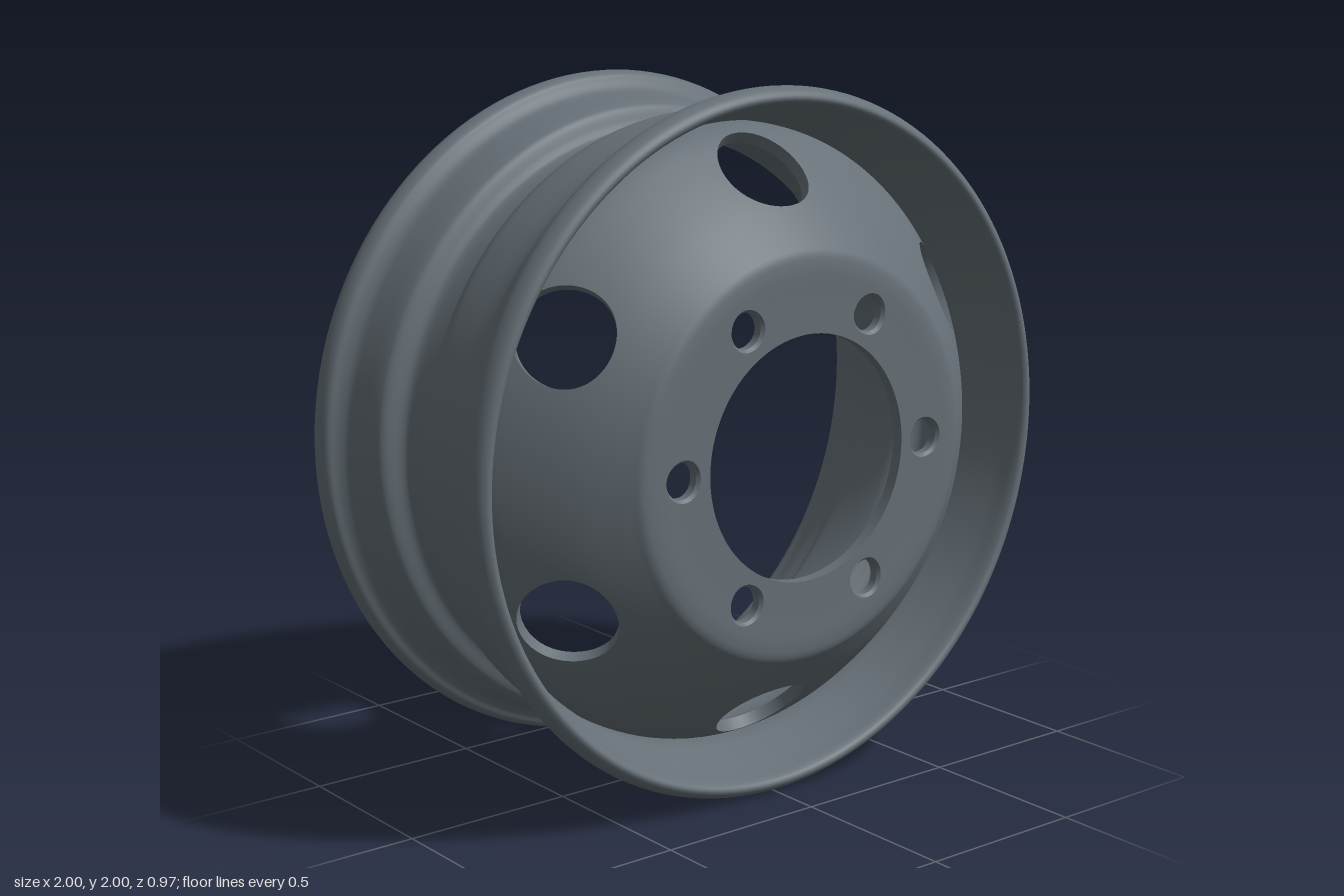
import * as THREE from 'three';

const steel = new THREE.MeshStandardMaterial({ color: 0x667077 });
steel.name = 'greySteel';

const THICK = 0.035;
const SECTOR = Math.PI / 3;

// Front face of the disc from the bore to the end of the skirt, as (radius, z)
const discCurve = new THREE.CatmullRomCurve3([
  [0.345, 0.475], [0.44, 0.475], [0.53, 0.475], [0.565, 0.468], [0.59, 0.45], [0.7, 0.357],
  [0.8, 0.25], [0.865, 0.165], [0.884, 0.12], [0.89, 0.08], [0.89, 0.04],
].map(([r, z]) => new THREE.Vector3(r, z, 0)), false, 'centripetal');
discCurve.arcLengthDivisions = 1000;
const LENGTH = discCurve.getLength();
const profile = (s) => discCurve.getPointAt(THREE.MathUtils.clamp(s / LENGTH, 0, 1));

// Distance along the profile at which a radius is first reached
function distanceAt(radius) {
  let s = 0;
  while (s < LENGTH && profile(s).x < radius) s += 0.001;
  return Math.min(s, LENGTH);
}

// Point in the disc at distance s, angle th and depth d below the front face
function discPoint(s, th, d) {
  const q = profile(s);
  const t = discCurve.getTangentAt(THREE.MathUtils.clamp(s / LENGTH, 0, 1));
  const nr = -t.y, nz = t.x, c = Math.cos(th), k = Math.sin(th);
  const r = q.x - nr * d;
  return {
    p: new THREE.Vector3(r * c, r * k, q.y - nz * d),
    n: new THREE.Vector3(nr * c, nr * k, nz),
    t: new THREE.Vector3(t.x * c, t.x * k, t.y),
  };
}

// Grid surface from a rule giving a point and normal; winding follows the normals
function surface(nu, nv, rule) {
  const P = [], N = [], pos = [], nor = [], index = [];
  for (let i = 0; i <= nu; i++) {
    for (let j = 0; j <= nv; j++) {
      const { p, n } = rule(i, j);
      P.push(p); N.push(n);
      pos.push(p.x, p.y, p.z);
      nor.push(n.x, n.y, n.z);
    }
  }
  const face = (a, b, c) => {
    const f = P[b].clone().sub(P[a]).cross(P[c].clone().sub(P[a]));
    if (f.dot(N[a]) + f.dot(N[b]) + f.dot(N[c]) >= 0) index.push(a, b, c);
    else index.push(a, c, b);
  };
  for (let i = 0; i < nu; i++) {
    for (let j = 0; j < nv; j++) {
      const a = i * (nv + 1) + j, b = a + nv + 1;
      face(a, b, a + 1);
      face(b, b + 1, a + 1);
    }
  }
  const g = new THREE.BufferGeometry();
  g.setAttribute('position', new THREE.Float32BufferAttribute(pos, 3));
  g.setAttribute('normal', new THREE.Float32BufferAttribute(nor, 3));
  g.setIndex(index);
  return g;
}

function add(group, name, geometry) {
  const mesh = new THREE.Mesh(geometry, steel);
  mesh.name = name;
  group.add(mesh);
  return mesh;
}

// Disc skin on one side: front (depth 0) or back (depth THICK)
function skin(s, th, d) {
  const q = discPoint(s, th, d);
  if (d > 0) q.n.negate();
  return q;
}

// Full ring of the disc without holes, both sides
function addPlainRing(group, name, s0, s1, rows) {
  for (const d of [0, THICK]) {
    add(group, name, surface(144, rows, (i, j) =>
      skin(s0 + (s1 - s0) * j / rows, i / 144 * Math.PI * 2, d)));
  }
}

// Edge closing the disc thickness at distance s
function addEdge(group, name, s, sign) {
  add(group, name, surface(144, 1, (i, j) => {
    const q = discPoint(s, i / 144 * Math.PI * 2, j * THICK);
    return { p: q.p, n: q.t.multiplyScalar(sign) };
  }));
}

// Ring of six sectors, each with a round hole; the wall is a list of [radius, depth]
function addHoledRing(group, name, s0, s1, sc, offset, wall) {
  const DIV = 24, ROWS = 10, rc = profile(sc).x;
  const corners = [[-1, 0], [1, 0], [1, 1], [-1, 1]];
  const border = (i) => {
    const k = Math.floor(i / DIV) % 4, f = (i % DIV) / DIV;
    const a = corners[k], b = corners[(k + 1) % 4];
    return [(a[0] + (b[0] - a[0]) * f) * SECTOR / 2, s0 + (s1 - s0) * (a[1] + (b[1] - a[1]) * f)];
  };
  const rim = (i, radius) => {
    const [th, s] = border(i);
    const phi = Math.atan2(s - sc, th * rc);
    const hs = sc + radius * Math.sin(phi);
    return [radius * Math.cos(phi) / profile(hs).x, hs];
  };
  const geometries = [[wall[0], 0], [wall[wall.length - 1], THICK]].map(([[radius], d]) =>
    surface(DIV * 4, ROWS, (i, j) => {
      const a = rim(i, radius), b = border(i), f = j / ROWS;
      return skin(a[1] + (b[1] - a[1]) * f, a[0] + (b[0] - a[0]) * f, d);
    }));
  for (let w = 0; w + 1 < wall.length; w++) {
    const chamfer = wall[w][0] - wall[w + 1][0];
    geometries.push(surface(DIV * 4, 1, (i, j) => {
      const [radius, d] = wall[w + j];
      const [th, s] = rim(i, radius);
      const q = discPoint(s, th, d);
      const n = discPoint(sc, 0, d).p.sub(q.p).normalize();
      if (chamfer > 0) n.add(q.n).normalize();
      return { p: q.p, n };
    }));
  }
  for (let k = 0; k < 6; k++) {
    for (const g of geometries) add(group, name, g).rotation.z = offset + k * SECTOR;
  }
}

export function createModel() {
  const model = new THREE.Group();
  model.name = 'wheel';

  // Rim barrel: tyre side from back to front, then the inside from front to back
  const outline = new THREE.CatmullRomCurve3([
    [0.97, -0.489], [0.99, -0.475], [1, -0.445], [0.99, -0.41], [0.965, -0.395], [0.945, -0.375],
    [0.935, -0.34], [0.915, -0.26], [0.9, -0.245], [0.855, -0.225], [0.843, -0.195],
    [0.843, -0.085], [0.855, -0.065], [0.9, -0.05], [0.913, -0.02], [0.915, 0.03], [0.917, 0.15],
    [0.935, 0.21], [0.945, 0.25], [0.965, 0.27], [0.99, 0.283], [1, 0.315], [0.99, 0.35],
    [0.97, 0.364], [0.955, 0.355], [0.94, 0.3], [0.925, 0.25], [0.91, 0.2], [0.894, 0.14],
    [0.892, 0.03], [0.882, -0.005], [0.835, -0.035], [0.821, -0.07], [0.821, -0.205],
    [0.833, -0.25], [0.885, -0.275], [0.9, -0.3], [0.913, -0.34], [0.925, -0.39],
    [0.943, -0.44], [0.955, -0.48],
  ].map(([r, z]) => new THREE.Vector3(r, z, 0)), true, 'centripetal');
  const rimPoints = outline.getPoints(41 * 4).map((p) => new THREE.Vector2(p.x, p.y));
  add(model, 'rimBarrel', new THREE.LatheGeometry(rimPoints, 144).rotateX(Math.PI / 2));

  // Dished disc: bolt face, shoulder, hand hole cone and skirt
  const disc = new THREE.Group();
  disc.name = 'disc';
  const sBolt = distanceAt(0.53), sCone = distanceAt(0.61), sSkirt = distanceAt(0.884);
  addEdge(disc, 'centreBore', 0, -1);
  addHoledRing(disc, 'boltFace', 0, sBolt, distanceAt(0.435), 0,
    [[0.058, 0], [0.05, 0.01], [0.05, THICK]]);
  addPlainRing(disc, 'shoulder', sBolt, sCone, 10);
  addHoledRing(disc, 'handHoleCone', sCone, sSkirt, distanceAt(0.777), SECTOR / 2,
    [[0.138, 0], [0.138, THICK]]);
  addPlainRing(disc, 'skirt', sSkirt, LENGTH, 6);
  addEdge(disc, 'skirtEnd', LENGTH, 1);
  model.add(disc);

  model.position.y = 1;
  const root = new THREE.Group();
  root.name = 'steelWheel';
  root.add(model);
  return root;
}
